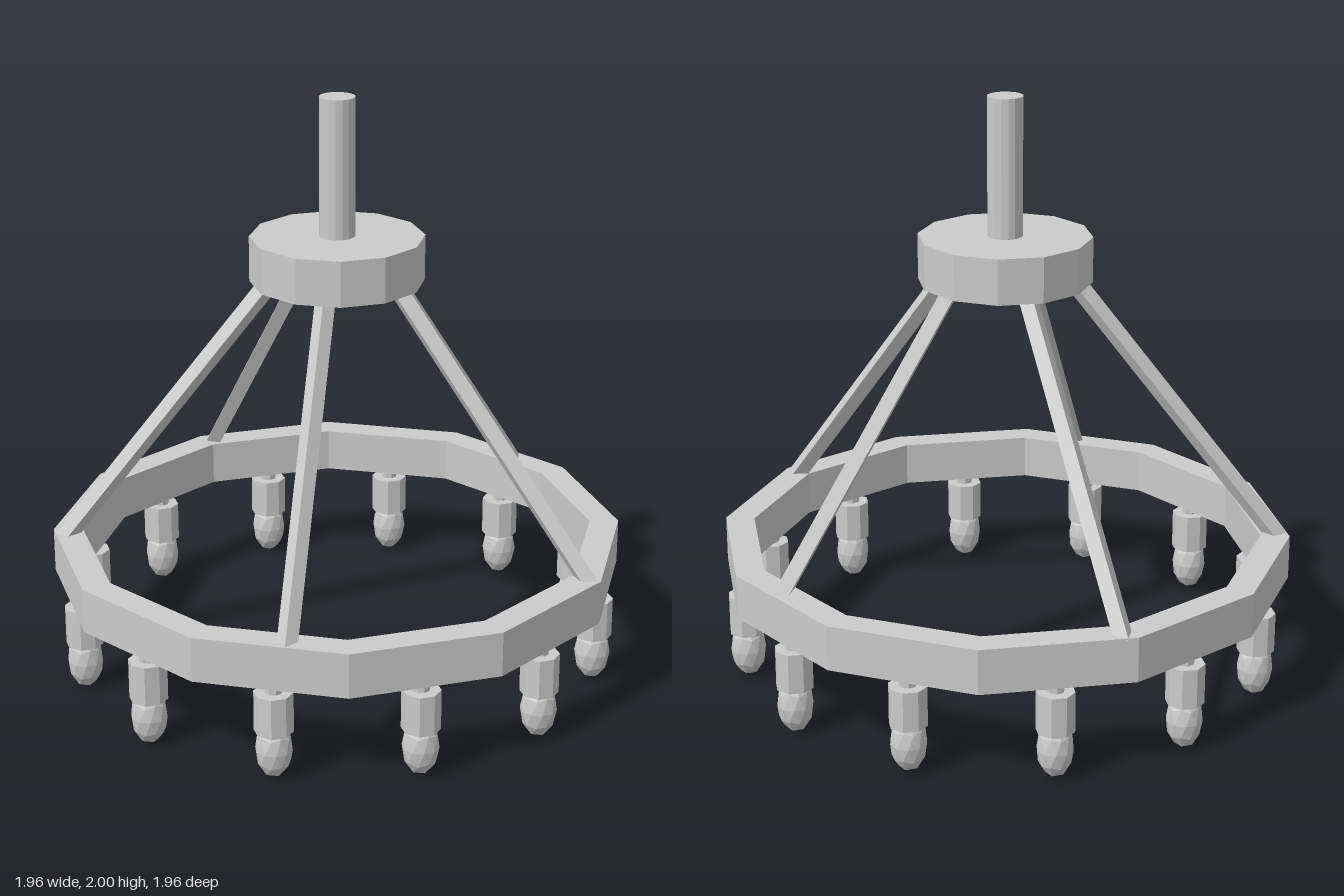
import * as THREE from 'three';

const material = new THREE.MeshStandardMaterial({ color: 0xcccccc, flatShading: true });

function addPart(parent, name, geometry, x = 0, y = 0, z = 0) {
  const mesh = new THREE.Mesh(geometry, material);
  mesh.name = name;
  mesh.position.set(x, y, z);
  parent.add(mesh);
  return mesh;
}

// Point at a given radius and angle (degrees) around the y axis
function polar(radius, degrees, y) {
  const a = THREE.MathUtils.degToRad(degrees);
  return new THREE.Vector3(radius * Math.cos(a), y, radius * Math.sin(a));
}

// Four-sided bar between two points, with one ridge facing upward
function addStrut(parent, top, bottom) {
  const axis = top.clone().sub(bottom);
  const length = axis.length();
  axis.normalize();
  const side = new THREE.Vector3(0, 1, 0).cross(axis).normalize();
  const ridge = side.clone().cross(axis);
  const strut = addPart(parent, 'strut', new THREE.CylinderGeometry(0.034, 0.034, length, 4));
  strut.quaternion.setFromRotationMatrix(new THREE.Matrix4().makeBasis(side, axis, ridge));
  strut.position.copy(top).add(bottom).multiplyScalar(0.5);
}

export function createModel() {
  const model = new THREE.Group();
  model.name = 'chandelier';

  // Ceiling rod and hub
  addPart(model, 'ceilingRod', new THREE.CylinderGeometry(0.06, 0.06, 0.49, 16), 0, 1.755, 0);
  addPart(model, 'hub', new THREE.CylinderGeometry(0.293, 0.293, 0.155, 12), 0, 1.4525, 0);

  // Twelve-sided ring with a rectangular section
  const section = [[0.98, 0.33], [0.98, 0.483], [0.88, 0.483], [0.88, 0.33], [0.98, 0.33]];
  addPart(model, 'ring', new THREE.LatheGeometry(section.map(([r, y]) => new THREE.Vector2(r, y)), 12));

  // Struts: [angle at the hub, angle at the ring, radius at the ring]
  const struts = [[0, 0, 0.925], [72, 72, 0.902], [-72, -72, 0.902], [144, 148, 0.927], [-144, -148, 0.927]];
  for (const [hubAngle, ringAngle, radius] of struts) {
    const top = polar(0.228, hubAngle, 1.375);
    const bottom = polar(radius, ringAngle, 0.483);
    const overlap = top.clone().sub(bottom).multiplyScalar(0.03);
    addStrut(model, top.add(overlap), bottom.sub(overlap));
  }

  // Lamps hanging below the middle of each ring side
  const stem = new THREE.CylinderGeometry(0.029, 0.029, 0.04, 8);
  const socket = new THREE.CylinderGeometry(0.064, 0.064, 0.138, 8).rotateY(Math.PI / 8);
  const bulb = new THREE.IcosahedronGeometry(1, 1)
    .rotateZ(-Math.atan(2 / (1 + Math.sqrt(5)))) // one corner points straight down
    .scale(0.061, 0.1, 0.061);
  for (let i = 0; i < 12; i++) {
    const lamp = new THREE.Group();
    lamp.name = 'lamp';
    lamp.position.copy(polar(0.9, 15 + i * 30, 0));
    addPart(lamp, 'stem', stem, 0, 0.315, 0);
    addPart(lamp, 'socket', socket, 0, 0.232, 0);
    addPart(lamp, 'bulb', bulb, 0, 0.1, 0);
    model.add(lamp);
  }

  return model;
}
